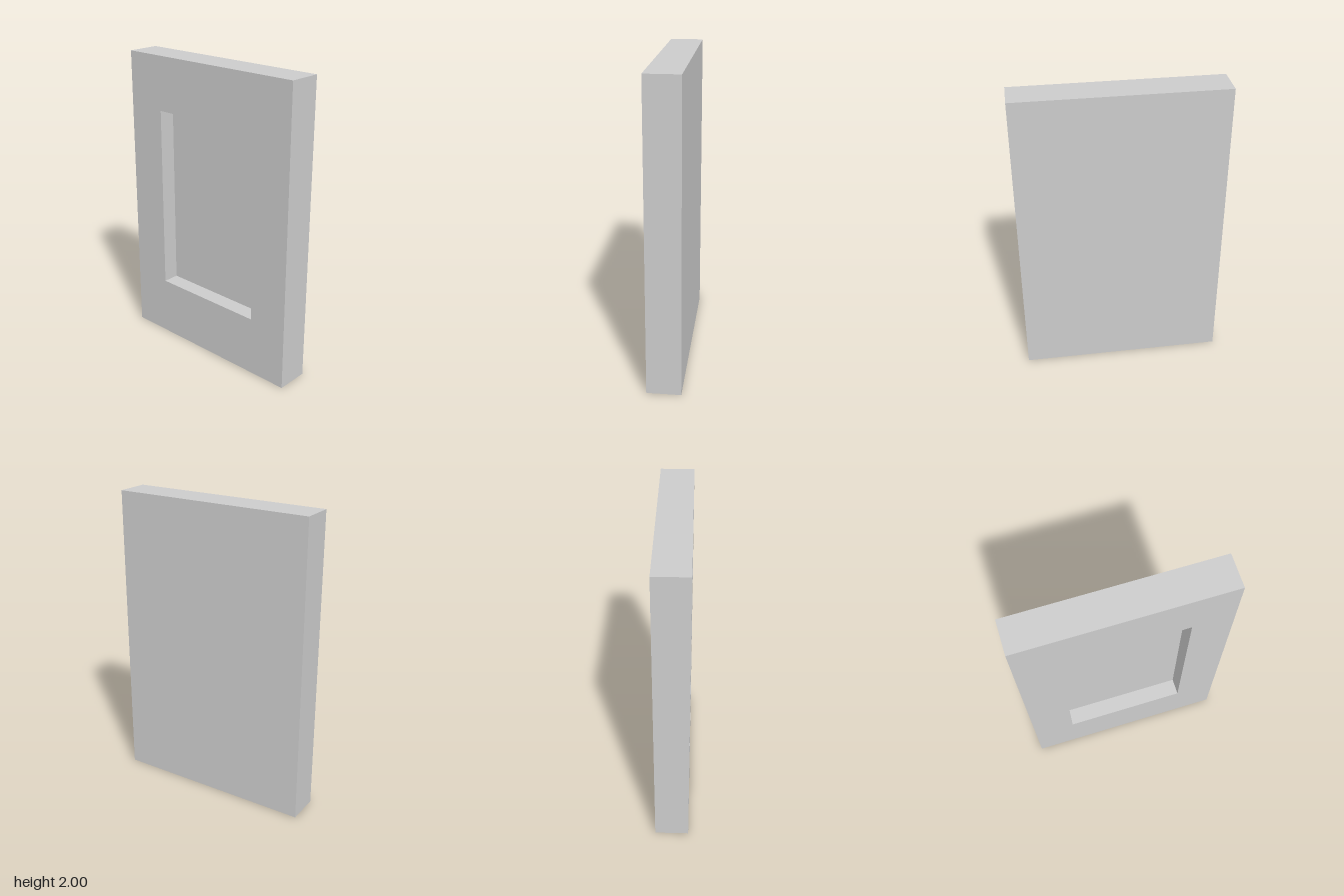
import * as THREE from 'three';
import { mergeGeometries } from 'three/addons/utils/BufferGeometryUtils.js';

const WIDTH = 1.34, HEIGHT = 2, FRONT = 0.11, BACK = -0.11;
const RECESS = { w: 0.8, h: 1.24, y: 1.02, floor: 0 };

// Four walls around a rectangle, facing outward (side = 1) or inward (side = -1)
function walls(w, h, y, z0, z1, side) {
  return [0, 1, 2, 3].map((i) => {
    const [dist, len] = i % 2 ? [h / 2, w] : [w / 2, h];
    return new THREE.PlaneGeometry(z1 - z0, len)
      .rotateY(side * Math.PI / 2)
      .translate(dist, 0, (z0 + z1) / 2)
      .rotateZ(i * Math.PI / 2)
      .translate(0, y, 0);
  });
}

function rectangle(path, w, h, y) {
  return path.moveTo(-w / 2, y - h / 2).lineTo(w / 2, y - h / 2)
    .lineTo(w / 2, y + h / 2).lineTo(-w / 2, y + h / 2).closePath();
}

export function createModel() {
  const group = new THREE.Group();
  group.name = 'recessedPanel';
  const material = new THREE.MeshStandardMaterial({ color: 0xcccccc });
  const add = (name, parts) => {
    const mesh = new THREE.Mesh(mergeGeometries(parts), material);
    mesh.name = name;
    group.add(mesh);
  };

  // Slab: front border with an opening, outer edges and plain back
  const border = rectangle(new THREE.Shape(), WIDTH, HEIGHT, HEIGHT / 2);
  border.holes.push(rectangle(new THREE.Path(), RECESS.w, RECESS.h, RECESS.y));
  add('slab', [
    new THREE.ShapeGeometry(border).translate(0, 0, FRONT),
    ...walls(WIDTH, HEIGHT, HEIGHT / 2, BACK, FRONT, 1),
    new THREE.PlaneGeometry(WIDTH, HEIGHT).rotateY(Math.PI).translate(0, HEIGHT / 2, BACK),
  ]);

  // Recess: inner walls and floor, half the slab deep
  add('recess', [
    ...walls(RECESS.w, RECESS.h, RECESS.y, RECESS.floor, FRONT, -1),
    new THREE.PlaneGeometry(RECESS.w, RECESS.h).translate(0, RECESS.y, RECESS.floor),
  ]);

  return group;
}
